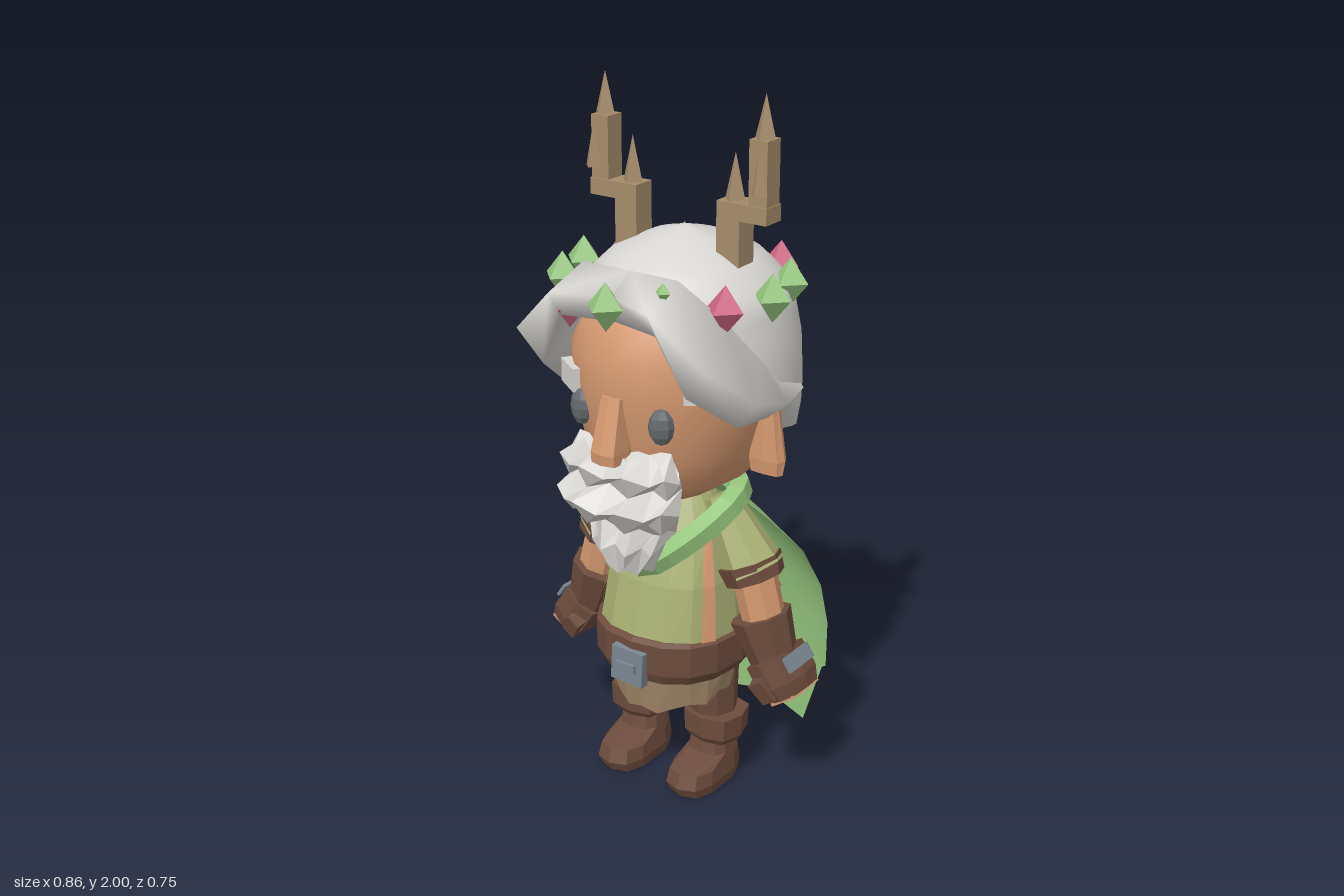
import * as THREE from 'three';

const mat = (name, color, side = THREE.FrontSide) => Object.assign(new THREE.MeshStandardMaterial({ color, side }), { name });
const M = {
  skin: mat('skin', 0xd4986f, THREE.DoubleSide),
  hair: mat('white hair', 0xd8d6d2, THREE.DoubleSide),
  leather: mat('dark leather', 0x6d4c3d),
  wood: mat('antler tan', 0xa68c6b, THREE.DoubleSide),
  green: mat('leaf green', 0x95c67d, THREE.DoubleSide),
  rose: mat('rose', 0xd06783),
  tunic: mat('olive cloth', 0xa6ae72),
  bark: mat('red bark', 0x955038),
  steel: mat('steel', 0x7b8791),
  eye: mat('eye grey', 0x646a6e),
};
const V = (x, y, z) => new THREE.Vector3(x, y, z);

function add(parent, name, geo, material, pos = [0, 0, 0], rot = [0, 0, 0]) {
  const m = new THREE.Mesh(geo, material);
  m.name = name;
  m.position.set(...pos);
  m.rotation.set(...rot);
  parent.add(m);
  return m;
}
function flat(geo) {
  const g = geo.index ? geo.toNonIndexed() : geo;
  g.computeVertexNormals();
  return g;
}
const box = (w, h, d) => new THREE.BoxGeometry(w, h, d);

// Skin a list of cross-sections; closed ones get end caps
function loft(rings, closed = true) {
  const n = rings[0].length, pos = [], idx = [];
  rings.forEach(r => r.forEach(p => pos.push(p.x, p.y, p.z)));
  for (let i = 0; i < rings.length - 1; i++)
    for (let j = 0; j < (closed ? n : n - 1); j++) {
      const a = i * n + j, b = i * n + (j + 1) % n;
      idx.push(a, b, b + n, a, b + n, a + n);
    }
  if (closed) [0, rings.length - 1].forEach((i, top) => {
    const c = rings[i].reduce((s, p) => s.add(p), V(0, 0, 0)).divideScalar(n);
    const k = pos.length / 3;
    pos.push(c.x, c.y, c.z);
    for (let j = 0; j < n; j++) {
      const a = i * n + j, b = i * n + (j + 1) % n;
      top ? idx.push(a, b, k) : idx.push(b, a, k);
    }
  });
  const g = new THREE.BufferGeometry();
  g.setAttribute('position', new THREE.Float32BufferAttribute(pos, 3));
  g.setIndex(idx);
  g.computeVertexNormals();
  return g;
}
// Horizontal ring: height, half width, front z, back z
function ring([y, rx, zf, zb], n = 16, p = 1, x0 = 0) {
  const pw = v => Math.sign(v) * Math.abs(v) ** p;
  return Array.from({ length: n }, (_, j) => {
    const a = (j / n) * Math.PI * 2;
    return V(x0 + rx * pw(Math.sin(a)), y, (zf + zb) / 2 + (zf - zb) / 2 * pw(Math.cos(a)));
  });
}
// Tapered cylinder between two points
function limb(parent, name, material, a, b, ra, rb, n = 8) {
  const A = V(...a), B = V(...b), d = B.clone().sub(A);
  const m = add(parent, name, flat(new THREE.CylinderGeometry(rb, ra, d.length(), n)), material);
  m.position.copy(A).add(B).multiplyScalar(0.5);
  m.quaternion.setFromUnitVectors(V(0, 1, 0), d.normalize());
  return m;
}
const sides = (parent, name, build) => [1, -1].forEach(s => {
  const g = new THREE.Group();
  g.name = (s > 0 ? 'left ' : 'right ') + name;
  g.scale.x = s;
  build(g, s);
  parent.add(g);
});

function buildHead(root) {
  add(root, 'head', loft([[0.91, 0.13, 0.17, -0.14], [0.955, 0.2, 0.23, -0.27], [1.05, 0.245, 0.26, -0.3],
    [1.2, 0.29, 0.285, -0.34], [1.32, 0.285, 0.285, -0.33], [1.42, 0.26, 0.24, -0.28], [1.52, 0.15, 0.13, -0.18]]
    .map(r => ring(r, 20))), M.skin);

  // Hair cap with a hem that drops from the brow to the nape
  const scale = [[1.62, 0.02], [1.6, 0.28], [1.55, 0.63], [1.47, 0.89], [1.32, 0.98], [1.18, 1], [1.09, 0.97], [1.0, 0.88]];
  const hem = [[0, 1.43], [0.8, 1.38], [1.2, 1.27], [1.57, 1.19], [1.75, 1.12], [2.2, 1.04], [3.15, 1.01]];
  const lerp = (t, x) => {
    const up = t[1][0] > t[0][0];
    const i = Math.max(1, t.findIndex(e => (up ? e[0] >= x : e[0] <= x)));
    return THREE.MathUtils.mapLinear(x, t[i - 1][0], t[i][0], t[i - 1][1], t[i][1]);
  };
  const rows = [];
  for (let i = 0; i <= 10; i++) rows.unshift(Array.from({ length: 28 }, (_, j) => {
    const a = j / 28 * Math.PI * 2, b = Math.min(a, Math.PI * 2 - a);
    const y = 1.62 + (lerp(hem, b) - 1.62) * (i / 10) ** 1.3, s = lerp(scale, y);
    return V(0.32 * s * Math.sin(a), y, -0.05 + Math.cos(a) * s * (b < 1.57 ? 0.31 : 0.32));
  }));
  rows.unshift(rows[0].map(p => V(p.x * 0.85, p.y - 0.01, -0.05 + (p.z + 0.05) * 0.85)));
  add(root, 'hair cap', loft(rows), M.hair);

  // Swept fringe sections: upper edge, outer bulge, lower edge, root in the cap
  const lock = [
    [[0, 1.555, 0.2], [0, 1.505, 0.28], [0, 1.435, 0.265], [0, 1.47, 0.17]],
    [[0.15, 1.555, 0.2], [0.155, 1.505, 0.342], [0.15, 1.435, 0.3], [0.13, 1.45, 0.18]],
    [[0.25, 1.47, 0.16], [0.3, 1.37, 0.3], [0.23, 1.28, 0.28], [0.2, 1.36, 0.16]],
    [[0.305, 1.34, 0.06], [0.35, 1.24, 0.125], [0.275, 1.155, 0.11], [0.25, 1.26, 0.04]],
    [[0.315, 1.25, -0.03], [0.35, 1.2, -0.015], [0.3, 1.155, -0.01], [0.27, 1.2, -0.04]],
    [[0.325, 1.22, -0.12], [0.332, 1.21, -0.12], [0.32, 1.2, -0.12], [0.3, 1.21, -0.12]],
  ].map(s => s.map(p => V(...p)));
  sides(root, 'fringe', g => add(g, 'swept lock', loft(lock), M.hair));

  // Face
  add(root, 'nose', flat(loft([[1.06, 0.043, 0.335, 0.2], [1.09, 0.043, 0.338, 0.2], [1.235, 0.034, 0.295, 0.2]]
    .map(r => ring(r, 8, 0.4)))), M.skin);
  sides(root, 'face', (g, s) => {
    add(g, 'eye', flat(new THREE.SphereGeometry(1, 8, 6)), M.eye, [0.13, 1.17, 0.247], [0, 0.35, 0]).scale.set(0.036, 0.051, 0.026);
    add(g, 'eyebrow', box(s > 0 ? 0.06 : 0.1, 0.065, 0.04), M.hair, [s > 0 ? 0.2 : 0.175, s > 0 ? 1.268 : 1.242, s > 0 ? 0.195 : 0.218], [0, 0.6, 0]);
    add(g, 'ear', flat(loft([[0.99, 0.05, 0, -0.04], [1.03, 0.055, 0.005, -0.05], [1.18, 0.03, 0, -0.045]]
      .map(r => ring(r, 8, 0.6, 0.285)))), M.skin);
  });

  // Jagged beard and moustache
  const beard = [[0.73, 0.07, 0.27, 0.15], [0.8, 0.105, 0.285, 0.14], [0.86, 0.135, 0.26, 0.13], [0.885, 0.16, 0.315, 0.13],
    [0.94, 0.185, 0.37, 0.13], [0.985, 0.175, 0.305, 0.14], [1.03, 0.185, 0.335, 0.16], [1.08, 0.15, 0.29, 0.18]];
  add(root, 'beard', flat(loft(beard.map((r, i) => ring(r, 16).map((p, j) =>
    V(p.x, p.y + ((j + i) % 2 ? 0.014 : -0.01), p.z + (j % 2 ? 0.012 : -0.006)))))), M.hair);
}

function buildCrown(root) {
  sides(root, 'antler', g => {
    const z = -0.036, spike = (name, x, y, r, h, zz = z) =>
      add(g, name, flat(new THREE.ConeGeometry(r, h, 4)), M.wood, [x, y + h / 2, zz]);
    add(g, 'inner post', box(0.07, 0.2, 0.07), M.wood, [0.163, 1.615, z]);
    add(g, 'branch', box(0.12, 0.045, 0.07), M.wood, [0.22, 1.692, z]);
    add(g, 'outer post', box(0.055, 0.2, 0.06), M.wood, [0.25, 1.785, z]);
    spike('inner tip', 0.163, 1.715, 0.031, 0.125);
    spike('outer tip', 0.252, 1.885, 0.031, 0.115);
    spike('side thorn', 0.262, 1.75, 0.025, 0.12, 0.005);
  });
  const gem = (x, y, z, r, m) => {
    const o = add(root, 'crown bud', flat(new THREE.OctahedronGeometry(r)), m, [x, y, z]);
    o.scale.y = 1.2;
  };
  const { green: G, rose: R } = M;
  [[0, 0.305, G], [0.26, 0.15, R], [-0.26, 0.15, G], [0.305, 0, G], [-0.305, 0, G], [0.265, -0.15, G],
    [-0.265, -0.15, R], [0.16, -0.27, R], [-0.16, -0.27, G], [0, -0.317, G]]
    .forEach(([x, z, m]) => gem(x, 1.485, z, 0.055, m));
  gem(0.15, 1.54, 0.265, 0.022, G);
  gem(-0.15, 1.45, 0.262, 0.05, R);
}

function buildBody(root) {
  const body = [[0.46, 0.21, 0.205, -0.22], [0.65, 0.19, 0.16, -0.18], [0.8, 0.155, 0.1, -0.13], [0.91, 0.09, 0.04, -0.08]]
    .map(r => ring(r, 16, 0.85));
  add(root, 'tunic', flat(loft(body)), M.tunic);
  const strip = body.slice(0, 3).map(r => [0.45, 1].map(t => {
    const p = r[2].clone().lerp(r[3], t);
    return V(p.x * 1.015, p.y, p.z * 1.015);
  }));
  sides(root, 'tunic gap', g => add(g, 'side opening', flat(loft(strip, false)), M.skin));
  add(root, 'belt', flat(loft([[0.37, 0.2, 0.2, -0.23], [0.4, 0.218, 0.212, -0.24], [0.49, 0.218, 0.214, -0.24], [0.5, 0.2, 0.2, -0.22]]
    .map(r => ring(r, 16, 0.85)))), M.leather);
  add(root, 'buckle', box(0.105, 0.105, 0.03), M.steel, [-0.005, 0.415, 0.212], [0, 0, -0.06]);
  add(root, 'buckle bar', box(0.06, 0.025, 0.02), M.steel, [-0.005, 0.415, 0.226]);
  add(root, 'hips', flat(loft([[0.31, 0.15, 0.1, -0.16], [0.39, 0.2, 0.15, -0.2]].map(r => ring(r, 12)))), M.leather);
  // Ragged front apron
  const hem = a => 0.25 + 0.035 * Math.abs(a) + 0.012 * Math.cos(a * 9);
  const apron = [0, 1].map(t => Array.from({ length: 13 }, (_, j) => {
    const a = (j / 6 - 1) * 1.65;
    return V((0.18 + 0.02 * t) * Math.sin(a), t ? 0.39 : hem(a), (0.165 + 0.03 * t) * Math.cos(a));
  }));
  add(root, 'apron', flat(loft(apron, false)), M.wood);

  sides(root, 'leg', g => {
    limb(g, 'trouser', M.leather, [0.12, 0.08, -0.03], [0.105, 0.38, -0.025], 0.06, 0.085);
    add(g, 'boot cuff', flat(loft([[0.13, 0.07, 0.045, -0.09], [0.15, 0.085, 0.058, -0.1], [0.215, 0.088, 0.06, -0.105]]
      .map(r => ring(r, 8, 0.7, 0.13)))), M.leather);
    add(g, 'boot', flat(loft([[0, 0.068, 0.15, -0.095], [0.03, 0.073, 0.165, -0.1], [0.07, 0.068, 0.15, -0.095], [0.095, 0.065, 0.05, -0.085], [0.14, 0.06, 0.04, -0.08]]
      .map(r => ring(r, 10, 0.7, 0.122)))), M.leather);
  });
  sides(root, 'arm', g => {
    limb(g, 'sleeve', M.tunic, [0.252, 0.69, -0.02], [0.135, 0.885, -0.02], 0.088, 0.045);
    limb(g, 'sleeve band', M.leather, [0.257, 0.665, -0.02], [0.235, 0.715, -0.02], 0.084, 0.092);
    limb(g, 'forearm', M.skin, [0.3, 0.5, -0.02], [0.25, 0.68, -0.02], 0.06, 0.064);
    limb(g, 'gauntlet', M.leather, [0.32, 0.43, -0.025], [0.275, 0.56, -0.02], 0.068, 0.088);
    const hand = new THREE.Group();
    hand.name = 'hand';
    hand.position.set(0.35, 0.395, -0.03);
    hand.rotation.z = 0.6;
    g.add(hand);
    add(hand, 'glove', flat(loft([[-0.06, 0.055, 0.07, -0.07], [-0.02, 0.068, 0.083, -0.083], [0.06, 0.066, 0.083, -0.083]]
      .map(r => ring(r, 8, 0.5)))), M.leather);
    add(hand, 'thumb', box(0.045, 0.07, 0.05), M.leather, [-0.03, -0.01, 0.07], [0.3, 0, 0]);
    add(hand, 'palm', box(0.09, 0.009, 0.125), M.skin, [0, -0.062, 0]);
    add(hand, 'knuckle plate', box(0.009, 0.045, 0.12), M.steel, [0.07, 0.025, 0]);
  });
}

function buildCape(root) {
  const half = [[0.11, 0.78, 0.135], [0.195, 0.88, 0.03], [0.16, 0.9, -0.08]];
  const loop = [[0, 0.71, 0.165], ...half, [0, 0.86, -0.16], ...half.slice().reverse().map(([x, y, z]) => [-x, y, z])];
  add(root, 'collar', flat(new THREE.TubeGeometry(new THREE.CatmullRomCurve3(loop.map(p => V(...p)), true), 24, 0.037, 5, true)), M.green);
  // Cape rows: height, half width, centre z, edge z
  const rows = [[0.91, 0.16, -0.13, -0.03], [0.81, 0.25, -0.2, -0.1], [0.7, 0.315, -0.24, -0.18], [0.58, 0.342, -0.265, -0.235],
    [0.45, 0.35, -0.28, -0.265], [0.3, 0.34, -0.29, -0.28], [0, 0.325, -0.295, -0.285]];
  const hem = [0.12, 0.135, 0.15, 0.12, 0.09, 0.29];
  const grid = rows.map(([y, w, zc, ze], i) => Array.from({ length: 11 }, (_, j) => {
    const u = j / 5 - 1, k = Math.abs(j - 5);
    return V(u * w, i === rows.length - 1 ? hem[k] : y, zc + (ze - zc) * u * u + (k % 2 ? 0.006 : 0));
  }));
  add(root, 'cape', loft(grid, false), M.green);
  add(root, 'cape patch', box(0.12, 0.035, 0.009), M.wood, [-0.08, 0.46, -0.281], [0.1, 0, 0.3]);

  // Bark quiver slung across the back
  const a = V(0.17, 0.515, -0.305), b = V(-0.19, 0.815, -0.28), at = t => a.clone().lerp(b, t).toArray();
  limb(root, 'quiver', M.bark, at(0), at(1), 0.056, 0.064, 6);
  limb(root, 'quiver rim', M.bark, at(0.8), at(1), 0.066, 0.075, 6);
  limb(root, 'quiver base', M.bark, at(-0.02), at(0.14), 0.06, 0.064, 6);
  limb(root, 'quiver pouch', M.bark, [0.06, 0.6, -0.325], [-0.05, 0.69, -0.318], 0.05, 0.055, 6);
  [[-0.27, 0.9, -0.29, 0.4], [-0.29, 0.85, -0.28, 1.2], [-0.23, 0.91, -0.27, 0], [-0.25, 0.87, -0.31, 0.8], [-0.25, 0.88, -0.25, 0.6]]
    .forEach(([x, y, z, r]) => {
      add(root, 'sprig leaf', flat(new THREE.OctahedronGeometry(0.04)), M.green, [x, y, z], [0, r * 2, r]).scale.set(1, 1.35, 0.8);
    });
  limb(root, 'sprig stem', M.green, at(1), [-0.27, 0.89, -0.28], 0.045, 0.025, 5);
}

export function createModel() {
  const root = new THREE.Group();
  root.name = 'forest elder';
  [buildHead, buildCrown, buildBody, buildCape].forEach(f => f(root));
  return root;
}
